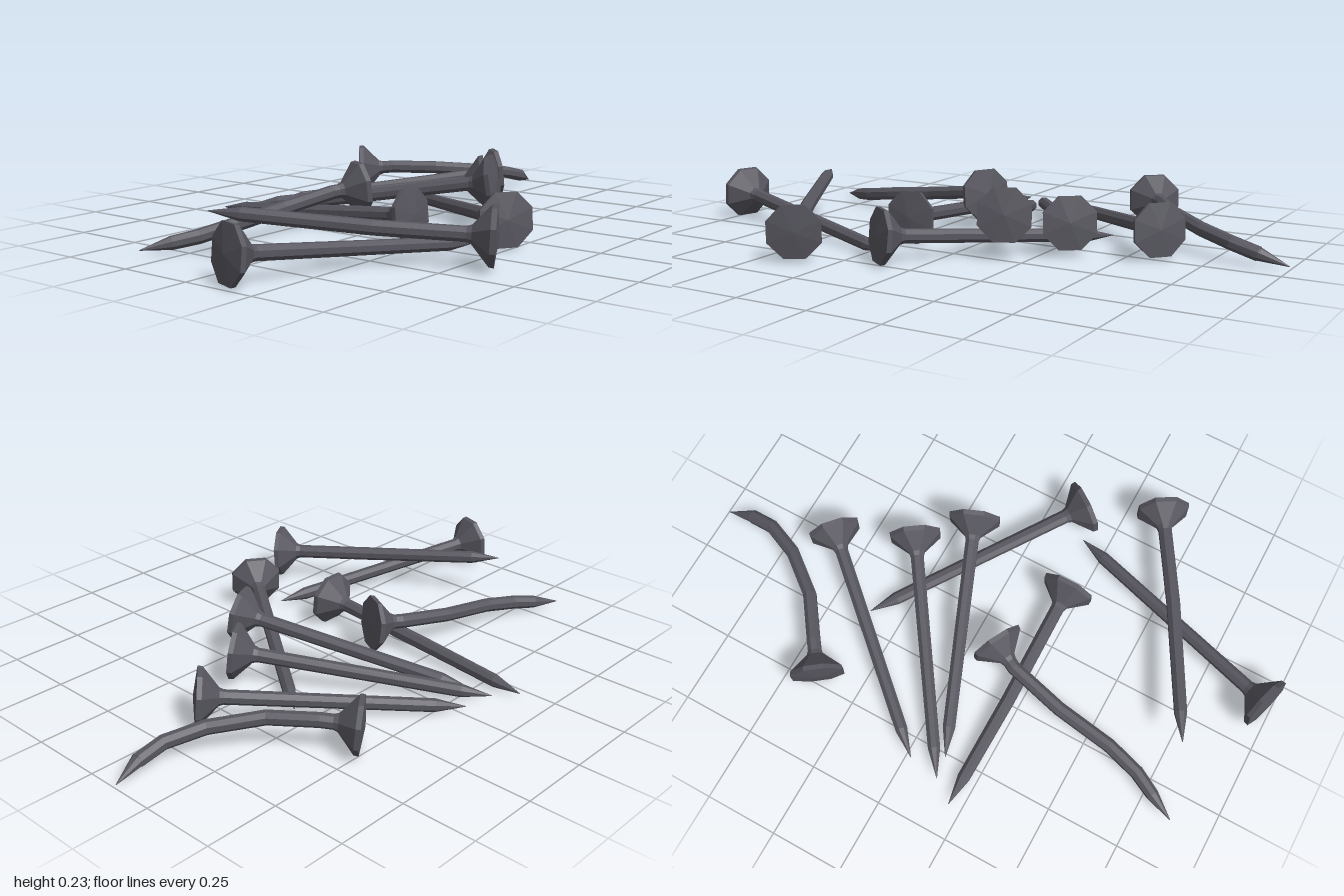
import * as THREE from 'three';

const SIDES = 8;
const material = new THREE.MeshStandardMaterial({ color: 0x57565f, flatShading: true, roughness: 0.8 });

// Each nail is a path from the centre of its head to its point.
const NAILS = {
  bentNailBack: [[-0.49, 0.105, -0.38], [-0.39, 0.115, -0.455], [-0.26, 0.112, -0.55], [-0.15, 0.095, -0.69],
    [-0.097, 0.075, -0.81], [-0.09, 0.052, -0.9], [-0.105, 0.02, -0.995]],
  bentNailFront: [[-0.11, 0.14, 0.09], [-0.16, 0.13, 0.185], [-0.205, 0.1, 0.38], [-0.23, 0.075, 0.58],
    [-0.262, 0.055, 0.7], [-0.345, 0.03, 0.865]],
  straightNail1: [[-0.01, 0.11, -0.605], [-0.57, 0.03, 0.02]],
  straightNail2: [[0.105, 0.125, -0.345], [-0.59, 0.03, 0.13]],
  straightNail3: [[0.245, 0.16, -0.185], [-0.515, 0.03, 0.12]],
  straightNail4: [[0.49, 0.105, 0.125], [-0.19, 0.03, -0.36]],
  straightNail5: [[0.192, 0.1, 0.21], [-0.25, 0.06, 0.213], [-0.645, 0.028, 0.205]],
  straightNail6: [[0.605, 0.112, 0.365], [0.3, 0.13, 0.55], [-0.13, 0.165, 0.785]],
  straightNail7: [[0.135, 0.107, 0.975], [0.4, 0.03, 0.165]],
};

// Sweeps an octagonal section along the path: domed head, rim, flare, shaft, point.
function nailGeometry(path) {
  const pts = path.map((p) => new THREE.Vector3(...p));
  const n = pts.length;
  const dirs = pts.slice(1).map((p, i) => p.clone().sub(pts[i]).normalize());
  const first = dirs[0], last = dirs[n - 2];
  const along = (p, d, t) => p.clone().addScaledVector(d, t);

  const stations = [
    [along(pts[0], first, -0.01), first, 0],
    [pts[0], first, 0.094],
    [along(pts[0], first, 0.016), first, 0.092],
    [along(pts[0], first, 0.07), first, 0.029],
    [along(pts[0], first, 0.085), first, 0.024],
  ];
  for (let i = 1; i < n - 1; i++) {
    stations.push([pts[i], dirs[i - 1].clone().add(dirs[i]).normalize(), 0.024]);
  }
  stations.push([along(pts[n - 1], last, -0.1), last, 0.022]);
  stations.push([pts[n - 1], last, 0.001]);

  const positions = [], index = [];
  const up = new THREE.Vector3(0, 1, 0);
  stations.forEach(([centre, dir, r], s) => {
    const side = new THREE.Vector3().crossVectors(up, dir).normalize();
    const top = new THREE.Vector3().crossVectors(dir, side);
    for (let k = 0; k < SIDES; k++) {
      const a = ((k + 0.5) / SIDES) * Math.PI * 2;
      const v = along(centre, side, Math.cos(a) * r).addScaledVector(top, Math.sin(a) * r);
      positions.push(v.x, v.y, v.z);
      if (s === 0) continue;
      const j = (k + 1) % SIDES, a0 = (s - 1) * SIDES, b0 = s * SIDES;
      if (s > 1) index.push(a0 + k, a0 + j, b0 + j);
      index.push(a0 + k, b0 + j, b0 + k);
    }
  });
  const geometry = new THREE.BufferGeometry();
  geometry.setAttribute('position', new THREE.Float32BufferAttribute(positions, 3));
  geometry.setIndex(index);
  const flat = geometry.toNonIndexed();
  flat.computeVertexNormals();
  return flat;
}

export function createModel() {
  const group = new THREE.Group();
  group.name = 'scatteredNails';
  for (const [name, path] of Object.entries(NAILS)) {
    const nail = new THREE.Mesh(nailGeometry(path), material);
    nail.name = name;
    group.add(nail);
  }
  return group;
}
